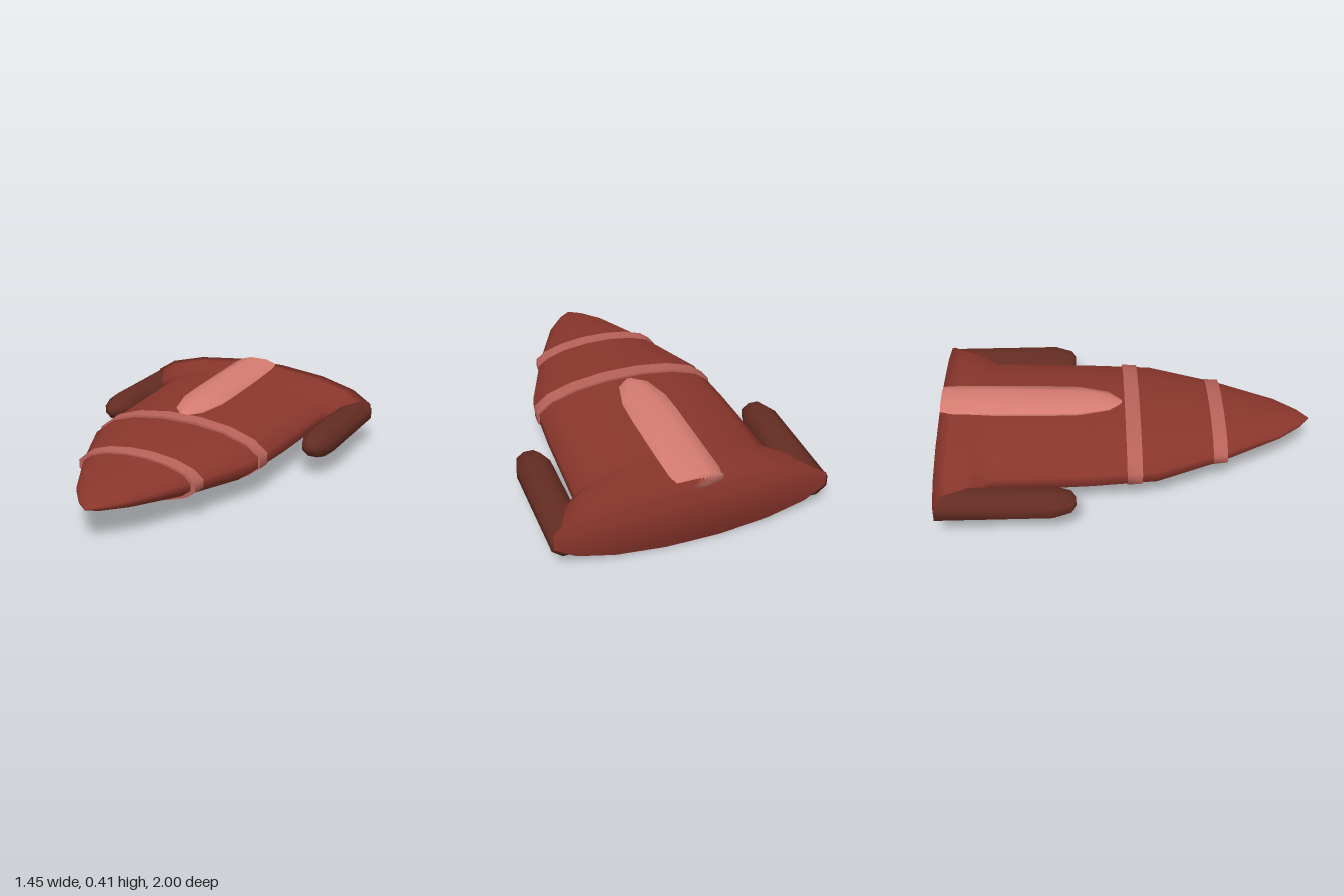
import * as THREE from 'three';

// Skin over elliptical cross-sections [z, rx, ry, cy], listed front to back
function loft(sections, sides, cx = 0) {
  const pos = [], idx = [];
  for (const [z, rx, ry, cy] of sections) {
    for (let j = 0; j < sides; j++) {
      const a = ((j + 0.5) / sides) * Math.PI * 2;
      pos.push(cx + rx * Math.cos(a), cy + ry * Math.sin(a), z);
    }
  }
  const last = (sections.length - 1) * sides;
  for (let i = 0; i < last; i += sides) {
    for (let j = 0; j < sides; j++) {
      const k = (j + 1) % sides;
      idx.push(i + j, i + sides + j, i + k, i + sides + j, i + sides + k, i + k);
    }
  }
  // end caps
  const front = pos.length / 3, back = front + 1;
  const f = sections[0], b = sections[sections.length - 1];
  pos.push(cx, f[3], f[0], cx, b[3], b[0]);
  for (let j = 0; j < sides; j++) {
    const k = (j + 1) % sides;
    idx.push(front, j, k, back, last + k, last + j);
  }
  const g = new THREE.BufferGeometry();
  g.setAttribute('position', new THREE.Float32BufferAttribute(pos, 3));
  g.setIndex(idx);
  g.computeVertexNormals();
  return g;
}

export function createModel() {
  const group = new THREE.Group();
  const mat = (color) => new THREE.MeshStandardMaterial({ color });
  const hullMat = mat(0x8a362c), bandMat = mat(0xb8625a);
  const ridgeMat = mat(0xd67c72), podMat = mat(0x642c22);
  const add = (name, geometry, material) => {
    const mesh = new THREE.Mesh(geometry, material);
    mesh.name = name;
    group.add(mesh);
  };

  // hull: pointed nose, long body, flared flat stern
  add('hull', loft([
    [1, 0.004, 0.003, 0.2],
    [0.94, 0.075, 0.026, 0.2],
    [0.82, 0.17, 0.054, 0.202],
    [0.5, 0.335, 0.11, 0.2],
    [0.14, 0.485, 0.149, 0.198],
    [0.0, 0.495, 0.157, 0.198],
    [-0.2, 0.51, 0.164, 0.198],
    [-0.73, 0.53, 0.178, 0.2],
    [-0.78, 0.585, 0.181, 0.2],
    [-0.84, 0.65, 0.186, 0.199],
    [-0.94, 0.695, 0.192, 0.198],
    [-1, 0.73, 0.197, 0.198],
  ], 16), hullMat);

  // raised bands around the hull, doubled sections keep the rims crisp
  const band = (name, z0, z1, rx, ry, slope) => add(name, loft([
    [z0, rx - 0.05, ry - 0.04, 0.2],
    [z0, rx - slope, ry - slope / 2, 0.2],
    [z0, rx - slope, ry - slope / 2, 0.2],
    [z1, rx, ry, 0.2],
    [z1, rx, ry, 0.2],
    [z1, rx - 0.05, ry - 0.04, 0.2],
  ], 16), bandMat);
  band('frontBand', 0.52, 0.445, 0.36, 0.12, 0.008);
  band('rearBand', 0.065, -0.015, 0.507, 0.168, 0.006);

  // spine ridge on top of the body
  add('spineRidge', loft([
    [-0.03, 0.02, 0.01, 0.347],
    [-0.1, 0.088, 0.03, 0.35],
    [-0.26, 0.13, 0.041, 0.354],
    [-0.4, 0.136, 0.043, 0.357],
    [-1, 0.138, 0.045, 0.37],
  ], 8, -0.018), ridgeMat);

  // side pods, left and right
  for (const side of [1, -1]) {
    add(side > 0 ? 'leftPod' : 'rightPod', loft([
      [-0.28, 0.025, 0.022, 0.182],
      [-0.31, 0.068, 0.054, 0.182],
      [-0.4, 0.097, 0.08, 0.182],
      [-0.998, 0.097, 0.08, 0.182],
    ], 8, side * 0.636), podMat);
  }
  return group;
}
